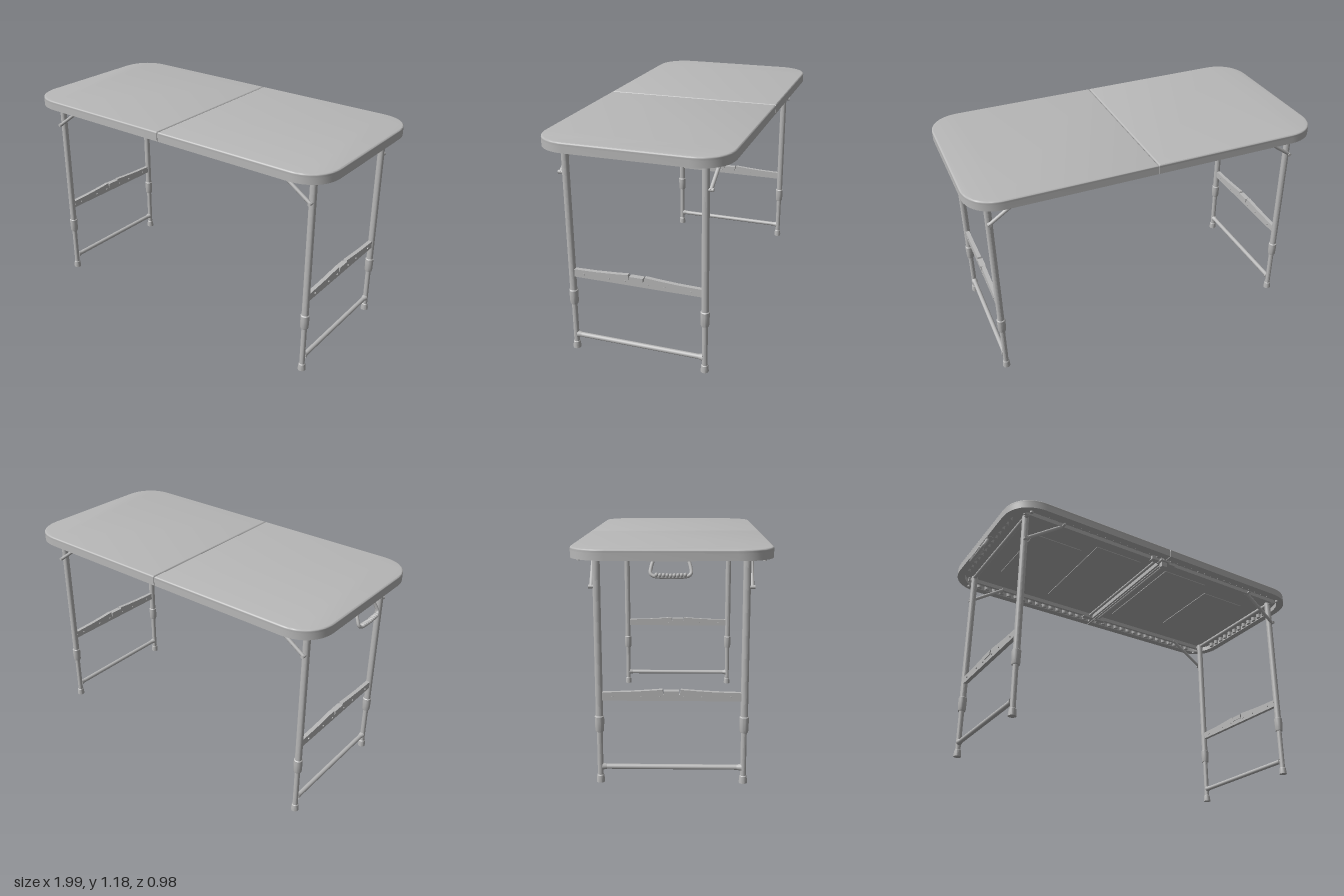
import * as THREE from 'three';
import { toCreasedNormals } from 'three/addons/utils/BufferGeometryUtils.js';

const grey = new THREE.MeshStandardMaterial({ color: 0xb8b8b8 });
grey.name = 'light grey';

const V = (x, y, z) => new THREE.Vector3(x, y, z);

function add(parent, name, geometry, x = 0, y = 0, z = 0) {
  const mesh = new THREE.Mesh(geometry, grey);
  mesh.name = name;
  mesh.position.set(x, y, z);
  parent.add(mesh);
  return mesh;
}

const box = (parent, name, w, h, d, x, y, z) =>
  add(parent, name, new THREE.BoxGeometry(w, h, d), x, y, z);

// Round bar between two points
function bar(parent, name, a, b, r, r2 = r, sides = 20) {
  const dir = b.clone().sub(a);
  const mesh = add(parent, name, new THREE.CylinderGeometry(r2, r, dir.length(), sides));
  mesh.position.copy(a).add(b).multiplyScalar(0.5);
  mesh.quaternion.setFromUnitVectors(V(0, 1, 0), dir.normalize());
  return mesh;
}

// Half a table outline: square at x0, rounded corners at x1
function halfOutline(x0, x1, hz, r, Type = THREE.Shape) {
  const k = r * 0.4;
  const s = new Type();
  s.moveTo(x0, -hz);
  s.lineTo(x1 - r, -hz);
  s.bezierCurveTo(x1 - k, -hz, x1, -hz + k, x1, -hz + r);
  s.lineTo(x1, hz - r);
  s.bezierCurveTo(x1, hz - k, x1 - k, hz, x1 - r, hz);
  s.lineTo(x0, hz);
  s.closePath();
  return s;
}

function slab(shape, depth, bevel = 0) {
  const g = new THREE.ExtrudeGeometry(shape, {
    depth, bevelEnabled: bevel > 0, bevelSize: bevel, bevelThickness: bevel,
    bevelOffset: -bevel, bevelSegments: 3, curveSegments: 14,
  });
  g.rotateX(-Math.PI / 2);
  return toCreasedNormals(g, 0.6);
}

// One folding half of the top, with its hollow underside
function buildTopHalf(parent) {
  add(parent, 'topPanel', slab(halfOutline(0.002, 0.978, 0.488, 0.18), 0.008, 0.008), 0, 1.169, 0);
  const rim = halfOutline(0.002, 0.978, 0.488, 0.18);
  rim.holes.push(halfOutline(0.014, 0.938, 0.448, 0.15, THREE.Path));
  add(parent, 'topRim', slab(rim, 0.036), 0, 1.133, 0);

  // Stiffening scallops along the inside of the rim
  const scallop = new THREE.CylinderGeometry(0.017, 0.014, 0.026, 10);
  for (const z of [-0.442, 0.442])
    for (let i = 0; i < 16; i++) add(parent, 'rimScallop', scallop, 0.05 + i * 0.05, 1.15, z);
  for (let i = -6; i <= 6; i++) add(parent, 'rimScallop', scallop, 0.932, 1.15, i * 0.05);

  // Shallow raised panels under the top
  box(parent, 'undersidePanel', 0.3, 0.006, 0.62, 0.24, 1.16, 0);
  box(parent, 'undersidePanel', 0.3, 0.006, 0.46, 0.6, 1.16, 0);

  // Steel side rails, end bar and centre hinge bar
  for (const z of [-0.395, 0.395]) {
    box(parent, 'sideRail', 0.88, 0.024, 0.016, 0.45, 1.148, z);
    box(parent, 'hingePlate', 0.07, 0.026, 0.03, 0.045, 1.144, z * 1.02);
  }
  bar(parent, 'endBar', V(0.868, 1.143, -0.4), V(0.868, 1.143, 0.4), 0.012);
  bar(parent, 'centreBar', V(0.035, 1.147, -0.39), V(0.035, 1.147, 0.39), 0.009);
}

// Telescopic leg: foot, inner tube, collar and outer tube
function buildLeg(parent, z) {
  const leg = new THREE.Group();
  leg.name = 'leg';
  leg.position.set(0.865, 0, z);
  parent.add(leg);
  const lathe = (name, pts) => add(leg, name, toCreasedNormals(new THREE.LatheGeometry(
    pts.map(([r, y]) => new THREE.Vector2(r, y)), 24), 0.5));
  lathe('foot', [[0, 0], [0.021, 0], [0.021, 0.008], [0.018, 0.036], [0.015, 0.04]]);
  lathe('lowerTube', [[0.0145, 0.03], [0.0145, 0.28]]);
  lathe('collar', [[0.014, 0.268], [0.02, 0.268], [0.022, 0.275], [0.0235, 0.325], [0.0235, 0.346], [0.019, 0.35]]);
  lathe('upperTube', [[0.0185, 0.345], [0.0185, 1.15], [0, 1.15]]);
}

// Pair of legs with their cross bars and braces
function buildLegFrame(parent) {
  for (const s of [-1, 1]) {
    buildLeg(parent, s * 0.358);

    // Diagonal folding brace and its pins
    bar(parent, 'brace', V(0.872, 0.993, s * 0.383), V(0.655, 1.148, s * 0.393), 0.0095);
    bar(parent, 'bracePin', V(0.868, 0.996, s * 0.352), V(0.868, 0.996, s * 0.397), 0.009);
    bar(parent, 'braceTopPin', V(0.66, 1.142, s * 0.38), V(0.66, 1.142, s * 0.43), 0.008);
    bar(parent, 'rimBolt', V(0.868, 1.122, s * 0.44), V(0.868, 1.145, s * 0.44), 0.009);

    // Sleeves at the ends of the lower bar
    bar(parent, 'lowerBarSleeve', V(0.865, 0.081, s * 0.325), V(0.865, 0.081, s * 0.348), 0.013, 0.018);
  }
  bar(parent, 'lowerCrossBar', V(0.865, 0.081, -0.35), V(0.865, 0.081, 0.35), 0.013);

  // Upper cross bar: raised to the middle with a notch for the latch
  const half = [[0.342, 0.472], [0.22, 0.475], [0.12, 0.481], [0.045, 0.487], [0.04, 0.462]];
  const s = new THREE.Shape();
  s.moveTo(-0.342, 0.43);
  s.lineTo(0.342, 0.43);
  half.forEach(([z, y]) => s.lineTo(z, y));
  [...half].reverse().forEach(([z, y]) => s.lineTo(-z, y));
  s.closePath();
  const g = new THREE.ExtrudeGeometry(s, { depth: 0.022, bevelEnabled: false });
  g.rotateY(Math.PI / 2);
  add(parent, 'upperCrossBar', g, 0.854, 0, 0);
  box(parent, 'crossBarLatch', 0.03, 0.026, 0.074, 0.865, 0.468, 0);
  for (const z of [-0.29, -0.15, -0.06, 0.06, 0.15, 0.29])
    bar(parent, 'rivet', V(0.849, 0.45, z), V(0.881, 0.45, z), 0.005, 0.005, 10);
}

// Carrying handle, hinged under the rim and hanging outward
function buildHandle(parent) {
  const handle = new THREE.Group();
  handle.name = 'carryHandle';
  handle.position.set(-0.945, 1.132, 0);
  handle.rotation.z = -0.42;
  parent.add(handle);
  const path = new THREE.CatmullRomCurve3([
    V(0, 0, -0.082), V(0, -0.028, -0.09), V(0, -0.058, -0.093), V(0, -0.071, -0.08),
    V(0, -0.077, -0.03), V(0, -0.077, 0.03),
    V(0, -0.071, 0.08), V(0, -0.058, 0.093), V(0, -0.028, 0.09), V(0, 0, 0.082),
  ]);
  add(handle, 'handleLoop', new THREE.TubeGeometry(path, 60, 0.0085, 10));
  // Ribbed grip
  for (let i = -4; i <= 4; i++) {
    const knob = add(handle, 'gripRib', new THREE.SphereGeometry(0.012, 12, 8),
      0, -0.072 + Math.abs(i) * 0.0008, i * 0.0165);
    knob.scale.set(1.5, 1, 0.85);
  }
  box(parent, 'handleMount', 0.03, 0.014, 0.23, -0.94, 1.137, 0);
}

export function createModel() {
  const model = new THREE.Group();
  model.name = 'foldingTable';
  const table = new THREE.Group();
  table.name = 'table';
  table.position.x = 0.02;
  model.add(table);

  // Two matching halves, turned about the centre fold
  for (const turn of [0, Math.PI]) {
    const half = new THREE.Group();
    half.name = turn ? 'rightHalf' : 'leftHalf';
    half.rotation.y = turn;
    table.add(half);
    buildTopHalf(half);
    buildLegFrame(half);
  }

  // Latch under the centre fold
  box(table, 'foldLatch', 0.034, 0.036, 0.026, 0, 1.117, 0.412);
  box(table, 'foldLatchPlate', 0.06, 0.012, 0.05, 0, 1.134, 0.412);

  buildHandle(model);
  return model;
}
